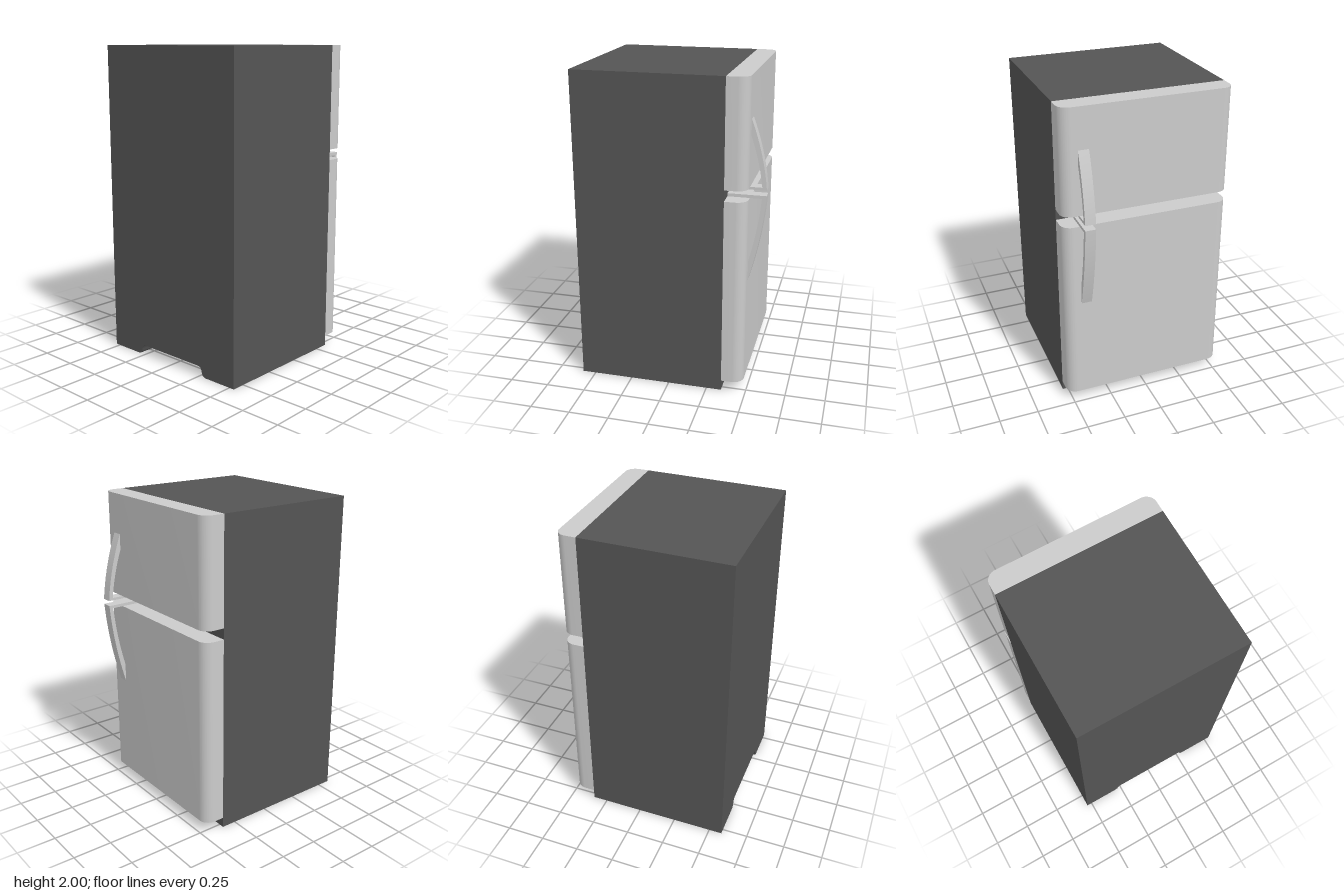
import * as THREE from 'three';
import { toCreasedNormals } from 'three/addons/utils/BufferGeometryUtils.js';

const HALF = 0.535;      // half width along z
const BACK = -0.585, SEAM = 0.345, FACE = 0.48; // depth stations along x

const grey = new THREE.MeshStandardMaterial({ color: 0xcccccc });
const dark = new THREE.MeshStandardMaterial({ color: 0x545454 });

function extrude(shape, depth) {
  return new THREE.ExtrudeGeometry(shape, { depth, bevelEnabled: false, curveSegments: 12 });
}

function addMesh(group, name, geometry, material) {
  const mesh = new THREE.Mesh(toCreasedNormals(geometry, 0.6), material);
  mesh.name = name;
  group.add(mesh);
}

// Cabinet: box section with a curved channel between the two feet
function cabinetGeometry() {
  const s = new THREE.Shape();
  s.moveTo(-HALF, 0);
  s.lineTo(-0.307, 0);
  s.quadraticCurveTo(-0.277, 0, -0.272, 0.03);
  s.quadraticCurveTo(-0.267, 0.065, -0.24, 0.065);
  s.lineTo(0.24, 0.065);
  s.quadraticCurveTo(0.267, 0.065, 0.272, 0.03);
  s.quadraticCurveTo(0.277, 0, 0.307, 0);
  s.lineTo(HALF, 0);
  s.lineTo(HALF, 2);
  s.lineTo(-HALF, 2);
  return extrude(s, SEAM - BACK).rotateY(Math.PI / 2).translate(BACK, 0, 0);
}

// Door: slab with its two front vertical edges rounded
function doorGeometry(bottom, top) {
  const r = 0.067;
  const s = new THREE.Shape();
  s.moveTo(SEAM, -HALF);
  s.lineTo(FACE - r, -HALF);
  s.absarc(FACE - r, -HALF + r, r, -Math.PI / 2, 0, false);
  s.absarc(FACE - r, HALF - r, r, 0, Math.PI / 2, false);
  s.lineTo(SEAM, HALF);
  return extrude(s, top - bottom).rotateX(-Math.PI / 2).translate(0, bottom, 0);
}

// Handle: bowed grip joined to a thin bar that runs along the door's edge
function handleGeometry(edge, barEnd, outerTip, innerTip) {
  const s = new THREE.Shape();
  s.moveTo(SEAM, edge);
  s.lineTo(SEAM, barEnd);
  s.lineTo(0.58, barEnd);
  s.quadraticCurveTo(0.56, (barEnd + outerTip) / 2, FACE, outerTip);
  s.lineTo(FACE, innerTip);
  s.quadraticCurveTo(0.535, (edge + innerTip) / 2, 0.552, edge);
  return extrude(s, 0.066).translate(0, 0, 0.365);
}

export function createModel() {
  const model = new THREE.Group();
  model.name = 'refrigerator';
  addMesh(model, 'cabinet', cabinetGeometry(), dark);
  addMesh(model, 'lowerDoor', doorGeometry(0.067, 1.268), grey);
  addMesh(model, 'upperDoor', doorGeometry(1.337, 2), grey);
  addMesh(model, 'lowerHandle', handleGeometry(1.268, 1.287, 0.737, 0.86), grey);
  addMesh(model, 'upperHandle', handleGeometry(1.337, 1.321, 1.745, 1.645), grey);
  return model;
}
